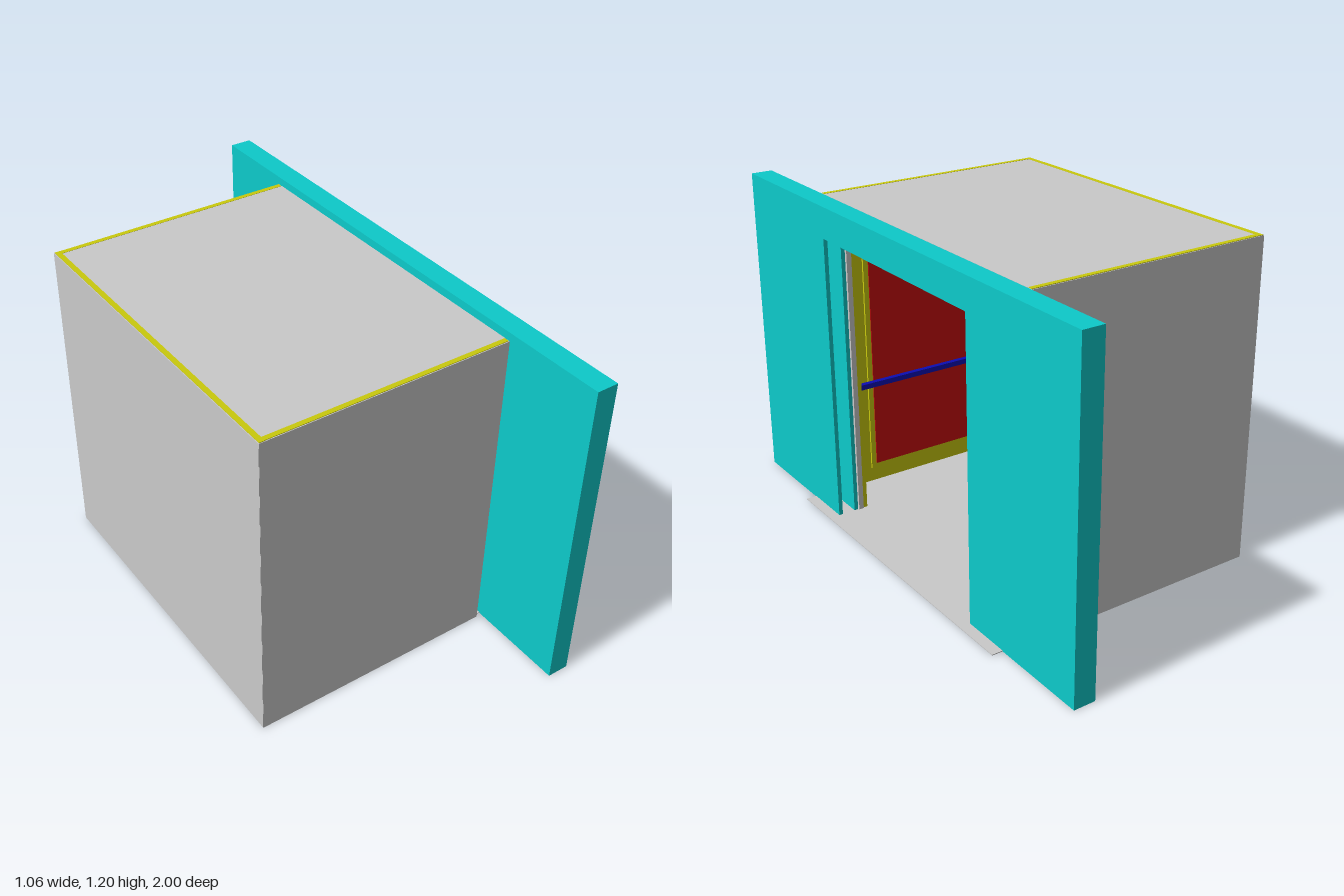
import * as THREE from 'three';

const mat = (name, color) => {
  const m = new THREE.MeshStandardMaterial({ color });
  m.name = name;
  return m;
};

export function createModel() {
  const model = new THREE.Group();
  const grey = mat('grey', 0xcacaca);
  const yellow = mat('yellow', 0xcaca0d);
  const cyan = mat('cyan', 0x0dcaca);
  const red = mat('red', 0xca0d0d);
  const blue = mat('blue', 0x0d0db4);

  // Box given by its minimum and maximum corners
  const box = (parent, name, material, [x0, y0, z0], [x1, y1, z1]) => {
    const mesh = new THREE.Mesh(new THREE.BoxGeometry(x1 - x0, y1 - y0, z1 - z0), material);
    mesh.position.set((x0 + x1) / 2, (y0 + y1) / 2, (z0 + z1) / 2);
    mesh.name = name;
    parent.add(mesh);
  };
  const group = (name) => {
    const g = new THREE.Group();
    g.name = name;
    model.add(g);
    return g;
  };

  const H = 1.19, DOOR_H = 1.085, DOOR_Z = 0.445;

  // Landing wall: header plus a hollow pocket on each side of the doorway
  const landing = group('landingWall');
  box(landing, 'header', cyan, [0.41, DOOR_H, -1], [0.49, 1.2, 1]);
  for (const s of [-1, 1]) {
    const span = (a, b) => [Math.min(s * a, s * b), Math.max(s * a, s * b)];
    const [z0, z1] = span(DOOR_Z, 1);
    box(landing, 'innerSheet', cyan, [0.41, 0, z0], [0.425, DOOR_H, z1]);
    box(landing, 'outerSheet', cyan, [0.475, 0, z0], [0.49, DOOR_H, z1]);
    const [e0, e1] = span(0.98, 1);
    box(landing, 'endCap', cyan, [0.425, 0, e0], [0.475, DOOR_H, e1]);
  }

  // Cabin: yellow lining with a thin grey skin outside
  const cabin = group('cabin');
  box(cabin, 'backLining', yellow, [-0.529, 0.003, -0.639], [-0.51, H, 0.639]);
  box(cabin, 'backSkin', grey, [-0.532, 0, -0.64], [-0.529, H - 0.002, 0.64]);
  for (const s of [-1, 1]) {
    const span = (a, b) => [Math.min(s * a, s * b), Math.max(s * a, s * b)];
    const [l0, l1] = span(0.62, 0.638);
    box(cabin, 'sideLining', yellow, [-0.51, 0.003, l0], [0.387, H, l1]);
    const [k0, k1] = span(0.638, 0.641);
    box(cabin, 'sideSkin', grey, [-0.531, 0, k0], [0.39, H - 0.002, k1]);
    const [f0, f1] = span(DOOR_Z, 0.62);
    box(cabin, 'frontLining', yellow, [0.37, 0.003, f0], [0.387, 1.17, f1]);
    const [g0, g1] = span(DOOR_Z, 0.638);
    box(cabin, 'frontSkin', grey, [0.387, 0, g0], [0.39, H - 0.002, g1]);
    // Door sleeve between cabin and landing wall
    const [j0, j1] = span(0.44, DOOR_Z);
    box(cabin, 'sleeveJamb', grey, [0.388, 0, j0], [0.407, DOOR_H, j1]);
  }
  box(cabin, 'frontLiningTop', yellow, [0.37, DOOR_H, -DOOR_Z], [0.387, 1.17, DOOR_Z]);
  box(cabin, 'frontSkinTop', grey, [0.387, DOOR_H, -DOOR_Z], [0.39, H - 0.002, DOOR_Z]);
  box(cabin, 'sleeveHead', grey, [0.388, DOOR_H - 0.005, -0.44], [0.407, DOOR_H, 0.44]);
  box(cabin, 'ceiling', yellow, [-0.51, 1.17, -0.62], [0.387, 1.185, 0.62]);
  box(cabin, 'roof', grey, [-0.51, 1.185, -0.62], [0.39, H - 0.001, 0.62]);
  box(cabin, 'floor', grey, [-0.522, 0, -0.632], [0.53, 0.003, 0.632]);

  // Wall panels and handrails on the back and both sides
  const walls = [
    ['backFittings', Math.PI / 2, 0.44, 0.6],
    ['leftFittings', Math.PI, 0.62, 0.43],
    ['rightFittings', 0, 0.62, 0.43],
  ];
  for (const [name, angle, d, half] of walls) {
    const g = group(name);
    g.position.x = -0.07;
    g.rotation.y = angle;
    box(g, 'panelBorder', yellow, [-0.32, 0.06, -d], [0.32, 1.13, -d + 0.008]);
    box(g, 'panel', red, [-0.3, 0.08, -d + 0.008], [0.3, 1.11, -d + 0.012]);
    box(g, 'handrail', blue, [-half, 0.42, -d + 0.025], [half, 0.44, -d + 0.045]);
  }
  return model;
}
